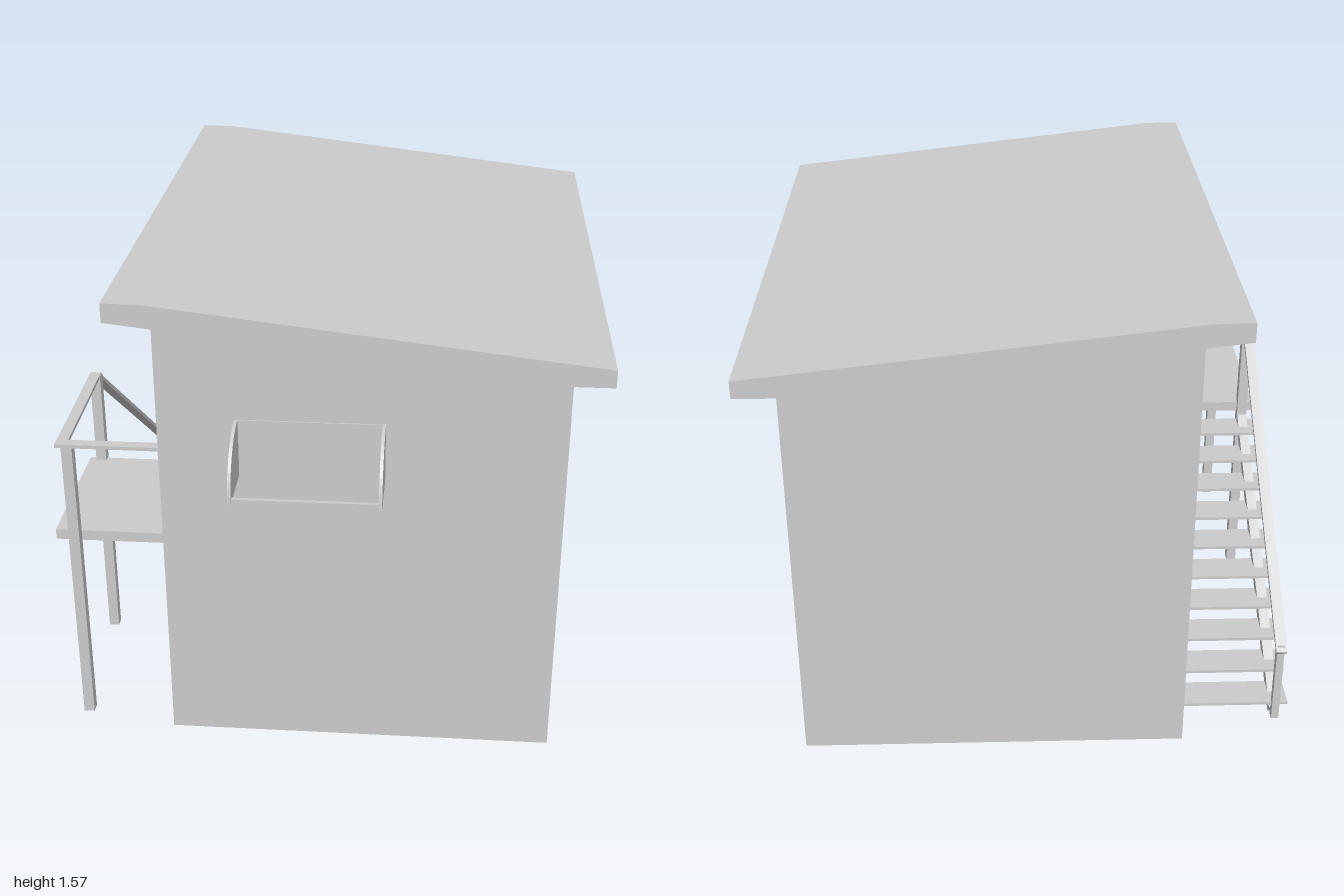
import * as THREE from 'three';

const mat = new THREE.MeshStandardMaterial({ color: 0xcccccc, flatShading: true, side: THREE.DoubleSide });

export function createModel() {
  const model = new THREE.Group();

  const add = (name, geometry, parent = model) => {
    const mesh = new THREE.Mesh(geometry, mat);
    mesh.name = name;
    parent.add(mesh);
    return mesh;
  };
  // Box given by its minimum and maximum on each axis
  const box = (name, x0, x1, y0, y1, z0, z1, parent) => {
    const mesh = add(name, new THREE.BoxGeometry(x1 - x0, y1 - y0, z1 - z0), parent);
    mesh.position.set((x0 + x1) / 2, (y0 + y1) / 2, (z0 + z1) / 2);
    return mesh;
  };
  // Straight bar between two points
  const bar = (name, a, b, w, h, parent) => {
    const from = new THREE.Vector3(...a), to = new THREE.Vector3(...b);
    const mesh = add(name, new THREE.BoxGeometry(w, h, from.distanceTo(to)), parent);
    mesh.position.copy(from).add(to).multiplyScalar(0.5);
    mesh.lookAt(to);
    return mesh;
  };
  const polygon = (points) => new THREE.Shape(points.map(([x, y]) => new THREE.Vector2(x, y)));
  const group = (name) => {
    const g = new THREE.Group();
    g.name = name;
    model.add(g);
    return g;
  };

  // Hollow walls, open at the bottom, following the roof pitch
  const walls = group('walls');
  const X0 = -0.5, X1 = 0.75, Z0 = -0.88, Z1 = 0.81, HIGH = 1.505, LOW = 1.365;
  const gable = polygon([[X0, 0], [X1, 0], [X1, LOW], [X0, HIGH]]);
  add('frontWall', new THREE.ShapeGeometry(gable), walls).position.z = Z1;
  const backGeometry = new THREE.ShapeGeometry(gable).translate(-(X0 + X1) / 2, 0, 0);
  backGeometry.scale(-1, 1, 1).rotateY(Math.PI).translate((X0 + X1) / 2, 0, 0);
  add('backWall', backGeometry, walls).position.z = Z0;
  for (const [name, x, h, turn] of [['leftWall', X1, LOW, 1], ['rightWall', X0, HIGH, -1]]) {
    const wall = add(name, new THREE.PlaneGeometry(Z1 - Z0, h), walls);
    wall.position.set(x, h / 2, (Z0 + Z1) / 2);
    wall.rotation.y = turn * Math.PI / 2;
  }

  // Overhanging single-pitch roof slab
  const roofShape = polygon([[-0.62, 1.51], [0.74, 1.355], [0.86, 1.355], [0.86, 1.41], [-0.5, 1.568], [-0.62, 1.57]]);
  add('roof', new THREE.ExtrudeGeometry(roofShape, { depth: 1.92, bevelEnabled: false })).position.z = -1;

  // Window hatch with quarter-round cheeks
  const hatch = group('windowHatch');
  const cheek = new THREE.Shape();
  cheek.moveTo(0, 0);
  cheek.lineTo(0.19, 0);
  cheek.absarc(0, 0, 0.19, 0, Math.PI / 2, false);
  cheek.lineTo(0, 0);
  for (const x of [-0.26, 0.19]) {
    const geometry = new THREE.ExtrudeGeometry(cheek, { depth: 0.01, bevelEnabled: false, curveSegments: 6 });
    geometry.rotateY(-Math.PI / 2).translate(0.01, 0, 0);
    add('hatchCheek', geometry, hatch).position.set(x, 0.97, Z1);
  }
  box('hatchFrontBar', -0.25, 0.19, 0.97, 0.985, 0.98, 0.992, hatch);
  box('hatchTopFrame', -0.25, 0.19, 1.15, 1.16, Z1, 0.815, hatch);

  // Door with frame and handle
  const door = group('door');
  box('doorPanel', -0.504, -0.495, 0.765, 1.40, 0.34, 0.68, door);
  box('doorHead', -0.51, -0.495, 1.40, 1.412, 0.325, 0.695, door);
  for (const z of [0.325, 0.682]) box('doorJamb', -0.51, -0.495, 0.765, 1.40, z, z + 0.013, door);
  box('handlePlate', -0.508, -0.49, 1.06, 1.14, 0.63, 0.65, door);
  const knob = add('doorKnob', new THREE.SphereGeometry(0.014, 10, 8), door);
  knob.position.set(-0.515, 1.12, 0.64);
  bar('doorHandle', [-0.512, 1.08, 0.65], [-0.512, 1.08, 0.6], 0.008, 0.01, door);

  // Landing on two tall posts
  const landing = group('landing');
  box('landingDeck', -0.87, -0.49, 0.66, 0.695, 0.215, 0.72, landing);
  box('frontPost', -0.82, -0.785, 0, 1.02, 0.72, 0.755, landing);
  box('rearPost', -0.845, -0.81, 0, 1.02, 0.2, 0.235, landing);
  bar('sideRail', [-0.83, 1.018, 0.21], [-0.82, 1.018, 0.755], 0.036, 0.012, landing);
  box('frontRail', -0.84, -0.5, 1.012, 1.024, 0.72, 0.755, landing);

  // Open stair running up to the landing
  const stairs = group('stairs');
  for (let i = 0; i < 10; i++) {
    const y = 0.052 + i * 0.0626, z = -0.77 + i * 0.0975;
    box('tread', -0.87, -0.49, y - 0.005, y + 0.005, z, z + 0.115, stairs);
  }
  bar('stringer', [-0.828, 0.012, -0.75], [-0.828, 0.645, 0.225], 0.034, 0.035, stairs);
  bar('handrail', [-0.828, 0.28, -0.795], [-0.828, 1.015, 0.22], 0.036, 0.014, stairs);
  box('handrailPost', -0.84, -0.815, 0, 0.3, -0.785, -0.76, stairs);

  return model;
}
